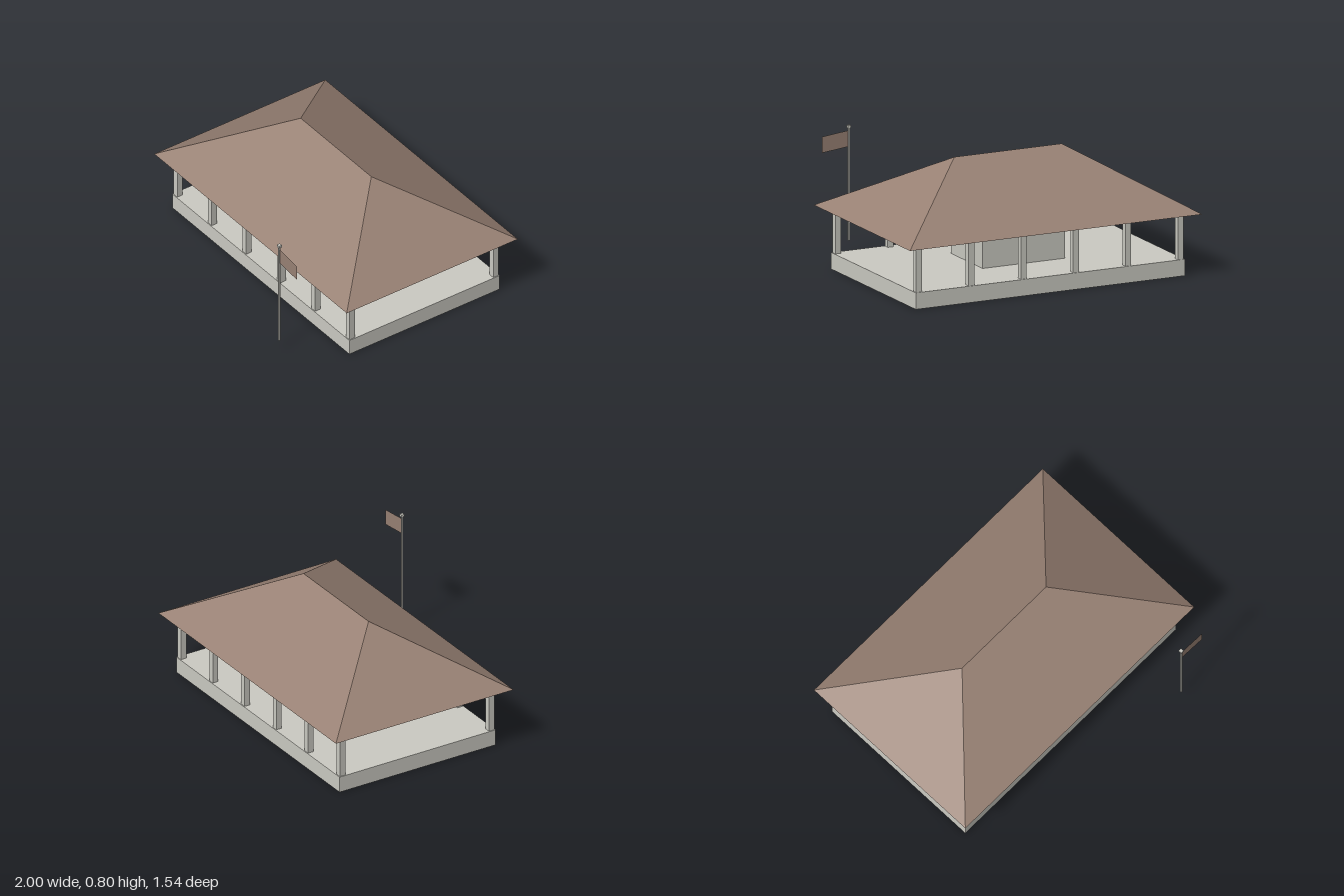
import * as THREE from 'three';

const stone = new THREE.MeshStandardMaterial({ color: 0xcccbc3, side: THREE.DoubleSide });
stone.name = 'pale stone';
const clay = new THREE.MeshStandardMaterial({ color: 0x988174, side: THREE.DoubleSide });
clay.name = 'brown roofing';

const CENTRE_Z = -0.126; // middle of the building; the flagpole stands in front of it

// Box spanning the given limits, optionally without its underside
function box(name, [x0, x1], [y0, y1], [z0, z1], openBottom = false) {
  const geo = new THREE.BoxGeometry(x1 - x0, y1 - y0, z1 - z0);
  if (openBottom) {
    const index = Array.from(geo.index.array);
    index.splice(18, 6); // the fourth face of a box is its underside
    geo.setIndex(index);
  }
  const mesh = new THREE.Mesh(geo, stone);
  mesh.position.set((x0 + x1) / 2, (y0 + y1) / 2, (z0 + z1) / 2);
  mesh.name = name;
  return mesh;
}

// Flat-shaded surface from polygons with corners in counter-clockwise order
function polygons(name, faces, material) {
  const points = [];
  for (const f of faces) {
    for (let i = 1; i < f.length - 1; i++) points.push(...f[0], ...f[i], ...f[i + 1]);
  }
  const geo = new THREE.BufferGeometry();
  geo.setAttribute('position', new THREE.Float32BufferAttribute(points, 3));
  geo.computeVertexNormals();
  const mesh = new THREE.Mesh(geo, material);
  mesh.name = name;
  return mesh;
}

// Hollow hipped roof
function hipRoof() {
  const w = 1, d = 0.643, eave = 0.394, top = 0.767, ridge = 0.367;
  const fl = [w, eave, d], fr = [-w, eave, d], bl = [w, eave, -d], br = [-w, eave, -d];
  const rl = [ridge, top, 0], rr = [-ridge, top, 0];
  const roof = polygons('roof', [
    [fr, fl, rl, rr],
    [bl, br, rr, rl],
    [fl, bl, rl],
    [br, fr, rr],
  ], clay);
  roof.position.z = CENTRE_Z;
  return roof;
}

export function createModel() {
  const model = new THREE.Group();
  model.name = 'pavilion';

  // Platform, hollow from below, and the inner room
  model.add(box('platform', [-0.92, 0.92], [0, 0.104], [-0.691, 0.439], true));
  model.add(box('innerRoom', [-0.281, 0.281], [0.104, 0.328], [-0.336, 0.086]));

  // Two rows of six columns, ending just under the platform deck
  const columns = new THREE.Group();
  columns.name = 'columns';
  const h = 0.0195;
  for (const z of [CENTRE_Z - 0.54, CENTRE_Z + 0.54]) {
    for (let i = 0; i < 6; i++) {
      const x = -0.895 + i * 0.358;
      columns.add(box('column', [x - h, x + h], [0.085, 0.4], [z - h, z + h], true));
    }
  }
  model.add(columns);

  model.add(hipRoof());

  // Flagpole with cap and a slightly drooping flag
  const flagpole = new THREE.Group();
  flagpole.name = 'flagpole';
  const px = 0.636, pz = 0.76;
  flagpole.add(box('pole', [px - 0.005, px + 0.005], [0.075, 0.785], [pz - 0.005, pz + 0.005]));
  flagpole.add(box('poleCap', [px - 0.011, px + 0.011], [0.784, 0.799], [pz - 0.011, pz + 0.011]));
  flagpole.add(polygons('flag', [
    [[0.641, 0.664, pz], [0.819, 0.645, pz], [0.819, 0.746, pz], [0.641, 0.766, pz]],
  ], clay));
  model.add(flagpole);

  return model;
}
